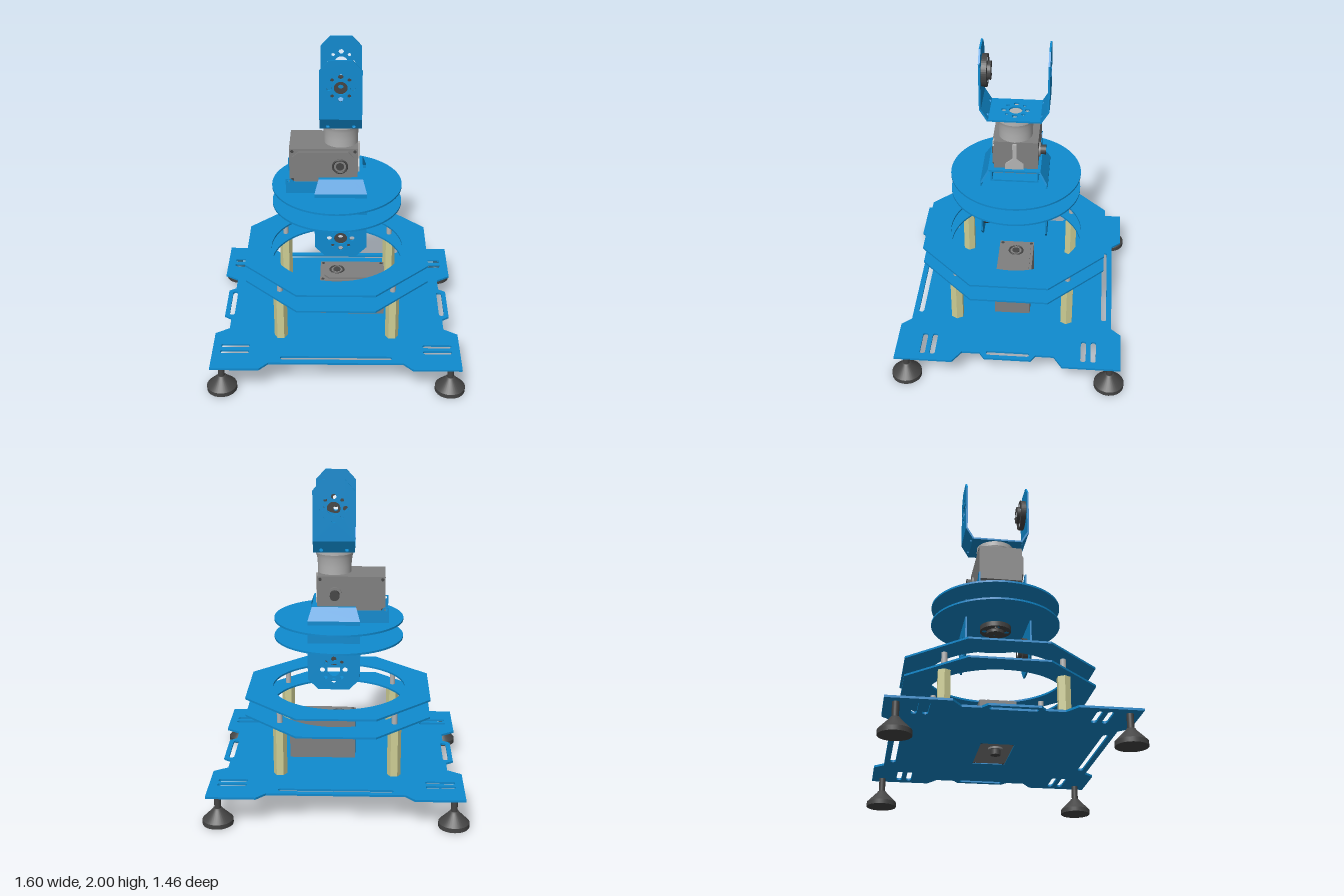
import * as THREE from 'three';

const mat = (name, color) => {
  const m = new THREE.MeshStandardMaterial({ color });
  m.name = name;
  return m;
};

export function createModel() {
  const blue = mat('blue plate', 0x0f8bd0);
  const grey = mat('servo grey', 0x808080);
  const light = mat('light grey', 0xb4b4b4);
  const dark = mat('dark rubber', 0x454545);
  const brass = mat('pale brass', 0xcfcf95);
  const root = new THREE.Group();

  const add = (parent, name, geo, material, x = 0, y = 0, z = 0) => {
    const m = new THREE.Mesh(geo, material);
    m.name = name;
    m.position.set(x, y, z);
    parent.add(m);
    return m;
  };
  const poly = (pts) => new THREE.Shape(pts.map(p => new THREE.Vector2(p[0], p[1])));
  const circle = (x, y, r, Type = THREE.Path) => new Type().absarc(x, y, r, 0, Math.PI * 2, true);
  const rect = (x, y, w, h) => poly([[x - w / 2, y - h / 2], [x + w / 2, y - h / 2], [x + w / 2, y + h / 2], [x - w / 2, y + h / 2]]);
  // Rounded slot of total length l and width w
  const slot = (x, y, l, w, vertical = false) => {
    const p = new THREE.Path(), r = w / 2, d = l / 2 - r, H = Math.PI / 2;
    if (vertical) {
      p.absarc(x, y + d, r, 0, 2 * H, false);
      p.absarc(x, y - d, r, 2 * H, 4 * H, false);
    } else {
      p.absarc(x + d, y, r, -H, H, false);
      p.absarc(x - d, y, r, H, 3 * H, false);
    }
    p.closePath();
    return p;
  };
  const extrude = (shape, holes, depth, seg = 24) => {
    shape.holes.push(...holes);
    return new THREE.ExtrudeGeometry(shape, { depth, bevelEnabled: false, curveSegments: seg });
  };
  // Horizontal plate whose underside sits at y
  const plate = (parent, name, shape, holes, t, y, material = blue, seg = 24) => {
    const g = extrude(shape, holes, t, seg);
    g.rotateX(-Math.PI / 2);
    return add(parent, name, g, material, 0, y, 0);
  };
  const hornHoles = (x, y) => {
    const out = [circle(x, y, 0.04)];
    for (let i = 0; i < 8; i++) {
      const a = i * Math.PI / 4;
      out.push(circle(x + 0.07 * Math.cos(a), y + 0.07 * Math.sin(a), i % 2 ? 0.011 : 0.016));
    }
    return out;
  };

  // Base plate: one quadrant of the outline mirrored around
  const q = [[0.73, 0.145], [0.685, 0.175], [0.685, 0.285], [0.77, 0.34], [0.77, 0.70], [0.47, 0.70], [0.415, 0.64]];
  const flip = (pts, sx, sy) => pts.map(p => [p[0] * sx, p[1] * sy]);
  const outline = [...q, ...flip(q, -1, 1).reverse(), ...flip(q, -1, -1), ...flip(q, 1, -1).reverse()];
  const baseHoles = [rect(0.1, 0, 0.39, 0.2)];
  for (const s of [-1, 1]) {
    baseHoles.push(slot(0, s * 0.59, 0.69, 0.033), slot(s * 0.685, 0, 0.27, 0.033, true));
    for (const k of [-1, 1]) for (const z of [0.468, 0.53])
      baseHoles.push(slot(s * 0.63, k * z, 0.18, 0.033));
  }
  plate(root, 'basePlate', poly(outline), baseHoles, 0.013, 0.186);

  // Feet, standoffs and spacers at the four corners
  const footGeo = new THREE.LatheGeometry(
    [[0, 0], [0.093, 0], [0.093, 0], [0.093, 0.028], [0.093, 0.028], [0.032, 0.09], [0.026, 0.1], [0.02, 0.1], [0.02, 0.1], [0.02, 0.187]]
      .map(p => new THREE.Vector2(p[0], p[1])), 32);
  const hexGeo = new THREE.CylinderGeometry(0.042, 0.042, 0.327, 6).toNonIndexed();
  hexGeo.rotateY(Math.PI / 2);
  hexGeo.computeVertexNormals();
  for (const sx of [-1, 1]) for (const sz of [-1, 1]) {
    add(root, 'foot', footGeo, dark, sx * 0.706, 0, sz * 0.635);
    add(root, 'standoff', hexGeo, brass, sx * 0.35, 0.3625, sz * 0.35);
    add(root, 'spacer', new THREE.CylinderGeometry(0.018, 0.018, 0.105, 16), light, sx * 0.35, 0.587, sz * 0.35);
  }

  // Octagonal ring plates
  for (const y of [0.525, 0.639]) {
    const o = [[0.572, 0.238], [0.238, 0.572]];
    const oct = [...o, ...flip(o, -1, 1).reverse(), ...flip(o, -1, -1), ...flip(o, 1, -1).reverse()];
    plate(root, 'ringPlate', poly(oct), [circle(0, 0, 0.42)], 0.012, y, blue, 48);
  }

  // Turntable discs
  for (const y of [0.985, 1.1])
    plate(root, 'turntableDisc', circle(0, 0, 0.403, THREE.Shape), [], 0.012, y, blue, 64);

  // Servo: shaft points down at the local origin, body extends to +x
  const servo = (name) => {
    const g = new THREE.Group();
    g.name = name;
    add(g, 'servoBody', new THREE.BoxGeometry(0.415, 0.265, 0.224), grey, 0.1, 0.1325, 0);
    const lid = poly([[-0.08, -0.06], [-0.05, -0.095], [0.25, -0.095], [0.29, -0.06], [0.29, 0.06], [0.25, 0.095], [-0.05, 0.095], [-0.08, 0.06]]);
    plate(g, 'servoLid', lid, [], 0.012, 0.265, grey);
    add(g, 'servoCollar', new THREE.CylinderGeometry(0.045, 0.045, 0.012, 24), grey, 0, -0.005, 0);
    add(g, 'servoShaft', new THREE.CylinderGeometry(0.03, 0.03, 0.045, 20), dark, 0, -0.02, 0);
    add(g, 'idlerRing', new THREE.TorusGeometry(0.043, 0.006, 8, 28).rotateX(Math.PI / 2), dark, 0, 0.277, 0);
    add(g, 'idlerPin', new THREE.CylinderGeometry(0.024, 0.024, 0.006, 20), dark, 0, 0.279, 0);
    for (const x of [-0.09, 0.29]) for (const z of [-0.095, 0.095])
      add(g, 'servoScrew', new THREE.CylinderGeometry(0.01, 0.01, 0.27, 12), dark, x, 0.1325, z);
    root.add(g);
    return g;
  };
  servo('baseServo').position.set(0, 0.191, 0);
  const upper = servo('armServo');
  upper.rotation.set(Math.PI / 2, Math.PI, 0);
  upper.position.set(0.02, 1.29, -0.142);

  // Cradle under the arm servo
  add(root, 'cradleFloor', new THREE.BoxGeometry(0.435, 0.01, 0.28), blue, -0.092, 1.118, 0);
  for (const s of [-1, 1]) {
    const wall = extrude(poly([[-0.31, 1.113], [0.125, 1.113], [0.125, 1.205], [0.09, 1.205], [0.06, 1.19], [-0.26, 1.19], [-0.28, 1.21], [-0.31, 1.21]]),
      [circle(-0.292, 1.196, 0.01)], 0.01);
    add(root, 'cradleWall', wall, blue, 0, 0, s * 0.142 - 0.005);
  }

  // Connector on the servo's end
  const plug = extrude(poly([[-0.012, 1.39], [-0.012, 1.285], [-0.055, 1.25], [-0.055, 1.21], [0.055, 1.21], [0.055, 1.25], [0.012, 1.285], [0.012, 1.39]]), [], 0.014);
  plug.rotateY(Math.PI / 2);
  add(root, 'servoConnector', plug, light, 0.126, 0, 0);

  // Column between servo and upper bracket
  const column = [[0.103, 1.4], [0.104, 1.45], [0.109, 1.5], [0.118, 1.525], [0.118, 1.525], [0.118, 1.554], [0.118, 1.554], [0, 1.554]];
  add(root, 'neckColumn', new THREE.LatheGeometry(column.map(p => new THREE.Vector2(p[0], p[1])), 40), light, 0.025, 0, 0);

  // Servo horn: flange at the back (z = 0), hub towards +z
  const horn = (parent, name) => {
    const g = new THREE.Group();
    g.name = name;
    const holes = [circle(0, 0, 0.018)];
    for (let i = 0; i < 4; i++) holes.push(circle(0.07 * Math.cos(i * Math.PI / 2), 0.07 * Math.sin(i * Math.PI / 2), 0.015));
    add(g, 'hornFlange', extrude(circle(0, 0, 0.098, THREE.Shape), holes, 0.032), dark);
    add(g, 'hornHub', extrude(circle(0, 0, 0.056, THREE.Shape), [circle(0, 0, 0.018)], 0.022), dark, 0, 0, 0.03);
    parent.add(g);
    return g;
  };

  // U bracket: floor at local y = 0, two legs rising at +z and -z
  const T = 0.011, ZF = 0.16, ZL = 0.206, DY = 0.078;
  const bracket = (name, w0, w1, h, tip, holeY) => {
    const g = new THREE.Group();
    g.name = name;
    plate(g, 'bracketFloor', rect(0, 0, w0 * 2, ZF * 2), hornHoles(0, 0), T, 0);
    const slope = Math.hypot(DY, ZL - ZF);
    for (const turn of [0, Math.PI]) {
      const side = new THREE.Group();
      side.name = 'bracketSide';
      side.rotation.y = turn;
      const bend = add(side, 'bracketBend',
        extrude(poly([[-w0, 0], [w0, 0], [w1, slope], [-w1, slope]]), [circle(-0.077, 0.02, 0.012), circle(0.077, 0.02, 0.012)], T)
          .translate(0, 0, -T), blue, 0, 0, ZF);
      bend.rotation.x = Math.atan2(ZL - ZF, DY);
      const leg = poly([[-w1, DY], [w1, DY], [w1, h - 0.065], [tip, h], [-tip, h], [-w1, h - 0.065]]);
      add(side, 'bracketLeg', extrude(leg, hornHoles(0, holeY), T), blue, 0, 0, ZL - T);
      g.add(side);
    }
    const hn = horn(g, 'bracketHorn');
    hn.rotation.y = Math.PI;
    hn.position.set(0, holeY, ZL - T);
    root.add(g);
    return g;
  };
  bracket('upperBracket', 0.125, 0.125, 0.445, 0.066, 0.275).position.set(0.024, 1.555, 0);
  const lower = bracket('lowerBracket', 0.135, 0.16, 0.515, 0.095, 0.388);
  lower.rotation.z = Math.PI;
  lower.position.set(0.025, 1.215, 0);

  // Horn under the lower disc
  const discHorn = horn(root, 'turntableHorn');
  discHorn.rotation.x = Math.PI / 2;
  discHorn.position.set(0, 0.986, 0);

  return root;
}
